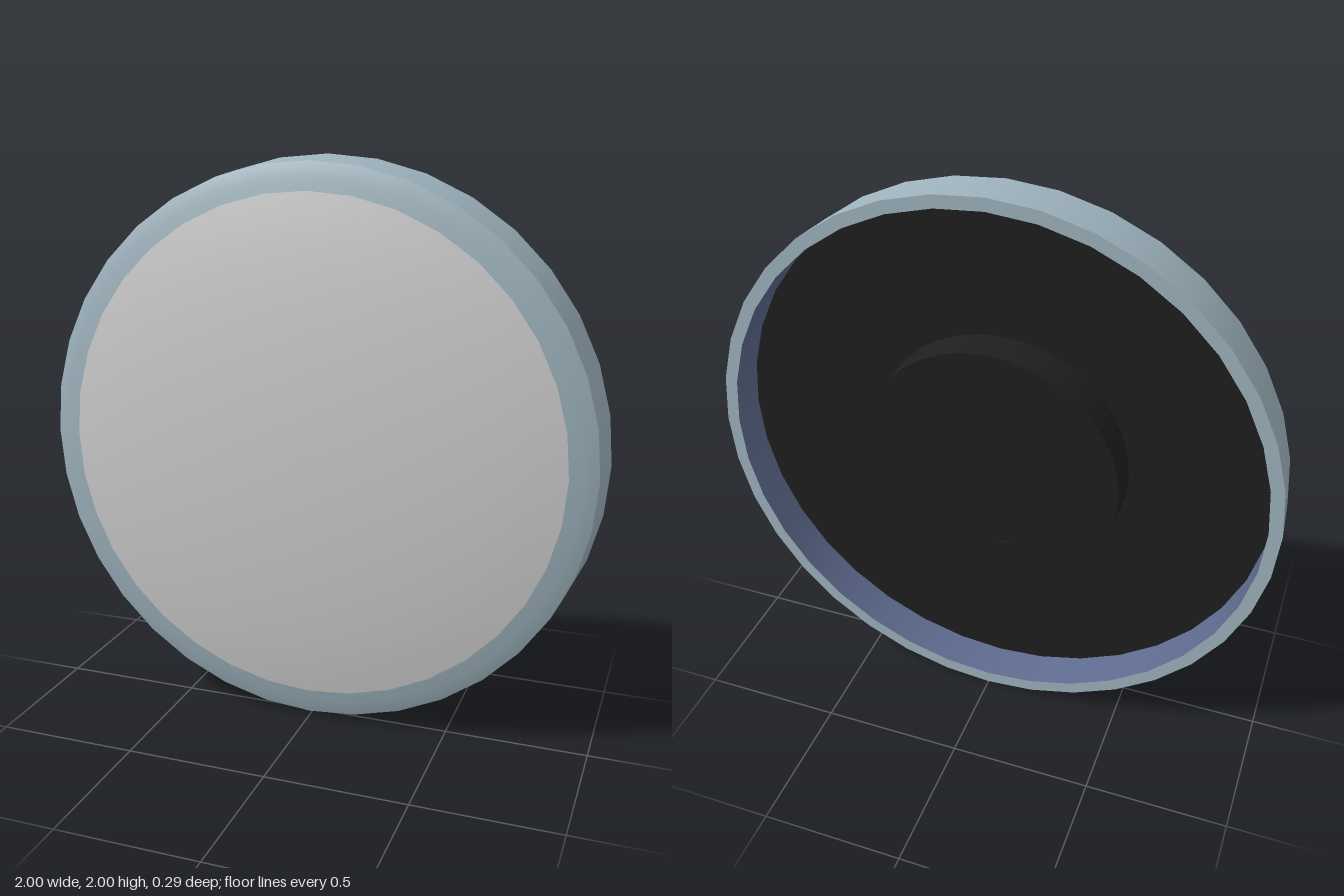
import * as THREE from 'three';

const SEGMENTS = 36;

export function createModel() {
  const model = new THREE.Group();
  model.name = 'roundLamp';

  const paint = (name, color) => {
    const m = new THREE.MeshStandardMaterial({ color });
    m.name = name;
    return m;
  };
  const steelBlue = paint('steelBlue', 0x9fb4bf);
  const paleGrey = paint('paleGrey', 0xcfcfcf);
  const navy = paint('navy', 0x5f6c90);
  const black = paint('black', 0x1f1f1f);

  const add = (name, geometry, material) => {
    const mesh = new THREE.Mesh(geometry, material);
    mesh.name = name;
    model.add(mesh);
    return mesh;
  };
  // Turned part: profile of [radius, z], spun round the front-to-back axis
  const turned = (name, profile, material) => {
    const points = profile.map(([r, z]) => new THREE.Vector2(r, z));
    const geometry = new THREE.LatheGeometry(points, SEGMENTS).rotateX(Math.PI / 2);
    return add(name, geometry.translate(0, 1, 0), material);
  };

  // Shallow dome curve shared by the trim ring and the diffuser
  const domeZ = (r) => 0.045 + 0.1 * Math.pow(1 - (r / 0.985) ** 2, 0.8);
  const domeProfile = (from, to, steps) =>
    Array.from({ length: steps + 1 }, (_, i) => {
      const r = from + ((to - from) * i) / steps;
      return [r, domeZ(r)];
    });

  // Housing
  turned('outerBand', [[1, -0.145], [0.985, 0.045]], steelBlue);
  turned('trimRing', domeProfile(0.985, 0.89, 4), steelBlue);
  turned('diffuser', domeProfile(0.89, 0, 12), paleGrey);
  turned('backRim', [[0.955, -0.145], [1, -0.145]], steelBlue);
  turned('innerWall', [[0.955, -0.005], [0.955, -0.145]], navy);

  // Recessed back and mounting boss
  const backZ = -0.005, bossZ = -0.135, bossRadius = 0.46;
  turned('backPlate', [[0, backZ], [0.955, backZ]], black);
  turned('bossFace', [[0, bossZ], [bossRadius, bossZ]], black);
  turned('bossSide', [[bossRadius, bossZ], [bossRadius, backZ]], black);

  const plate = (name, shape, x, y) => {
    const geometry = new THREE.ExtrudeGeometry(shape, { depth: 0.008, bevelEnabled: false, curveSegments: 10 });
    const mesh = add(name, geometry, black);
    mesh.position.set(x, y, bossZ - 0.006);
    return mesh;
  };

  // Teardrop hanging mark
  const drop = new THREE.Shape();
  drop.moveTo(0, 0.06);
  drop.quadraticCurveTo(0.012, 0.01, 0.025, -0.015);
  drop.absarc(0, -0.02, 0.025, 0, Math.PI, true);
  drop.quadraticCurveTo(-0.012, 0.01, 0, 0.06);
  plate('hangingMark', drop, -0.01, 1.37);

  // Screw head: two half discs with a slot between them
  for (const side of [0, Math.PI]) {
    const half = new THREE.Shape();
    half.absarc(0, 0, 0.045, side + 0.18, side + Math.PI - 0.18, false);
    plate('screwHalf', half, -0.06, 0.67).rotation.z = Math.PI / 4;
  }

  return model;
}
